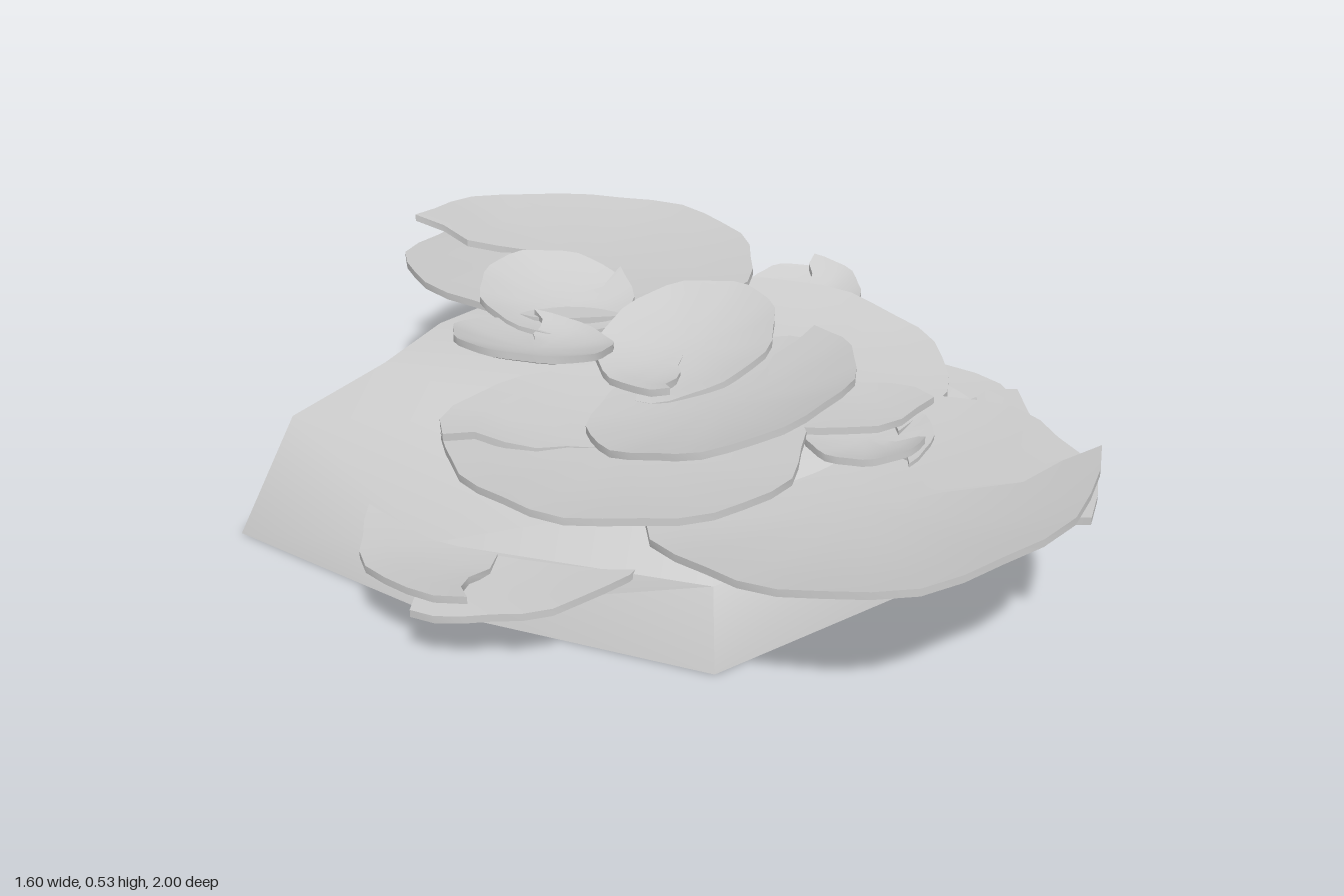
import * as THREE from 'three';
import { toCreasedNormals } from 'three/addons/utils/BufferGeometryUtils.js';

const material = new THREE.MeshStandardMaterial({ color: 0xcccccc, side: THREE.DoubleSide });

function meshFrom(name, positions, index, crease) {
  const geometry = new THREE.BufferGeometry();
  geometry.setAttribute('position', new THREE.Float32BufferAttribute(positions, 3));
  geometry.setIndex(index);
  const mesh = new THREE.Mesh(toCreasedNormals(geometry, crease), material);
  mesh.name = name;
  return mesh;
}

// Rock: eight corners lofted through three rings [x, y, z] and closed top and bottom
function makeRock() {
  const base = [[0.57, 0, 0.56], [0.8, 0, -0.14], [0.61, 0, -0.74], [-0.12, 0, -0.89],
    [-0.645, 0, -0.8], [-0.64, 0, -0.26], [-0.47, 0, 0.4], [0.05, 0, 0.565]];
  const middle = [[0.52, 0.18, 0.5], [0.735, 0.17, -0.13], [0.56, 0.18, -0.69], [-0.11, 0.18, -0.82],
    [-0.52, 0.27, -0.73], [-0.6, 0.15, -0.24], [-0.42, 0.17, 0.36], [0.05, 0.18, 0.51]];
  const top = [[0.4, 0.29, 0.37], [0.57, 0.33, -0.1], [0.46, 0.36, -0.6], [-0.11, 0.37, -0.65],
    [-0.33, 0.36, -0.62], [-0.33, 0.34, -0.15], [-0.28, 0.28, 0.25], [0.03, 0.29, 0.38]];
  const n = base.length, index = [];
  const positions = [...base, ...middle, ...top, [0, 0, 0], [0.05, 0.36, -0.2]].flat();
  for (let i = 0; i < n; i++) {
    const j = (i + 1) % n;
    for (let r = 0; r < 2 * n; r += n) {
      index.push(r + i, r + j, r + n + j, r + i, r + n + j, r + n + i);
    }
    index.push(3 * n, j, i, 3 * n + 1, 2 * n + i, 2 * n + j);
  }
  return meshFrom('rock', positions, index, 0.75);
}

// Pad: a thin cupped disc with a wavy rim, split along a ragged radius;
// its raised end overlaps the dropped start
function makePad({ name, at, r, cup, tilt, slit, lift = 0.02 }, seed) {
  const segments = 34, rings = 7, thick = 0.017, overlap = 0.4;
  const row = 2 * rings, positions = [], index = [];
  for (let j = 0; j <= segments; j++) {
    const t = j / segments;
    const sweep = slit - overlap + t * (Math.PI * 2 + overlap);
    const wave = 1 + 0.014 * Math.sin(sweep * 5 + seed * 2) + 0.018 * Math.sin(sweep * 9 + seed);
    const lip = Math.max(0, 1 - (1 - t) * 6) - Math.max(0, 1 - t * 6);
    for (let k = 0; k < row; k++) {
      const under = k >= rings;
      const f = (under ? row - 1 - k : k) / (rings - 1);
      const d = f * r * wave * (1 + 0.03 * Math.abs(lip));
      const angle = sweep + 0.08 * Math.sin(f * 11 + seed) * Math.abs(lip);
      const x = Math.cos(angle) * d, z = -Math.sin(angle) * d;
      const y = cup * f * f + lift * lip * f * f + tilt[0] * x + tilt[1] * z;
      positions.push(at[0] + x, at[1] + y - (under ? thick : 0), at[2] + z);
    }
  }
  for (let j = 0; j < segments; j++) {
    for (let k = 0; k < row - 1; k++) {
      const a = j * row + k, b = a + row;
      index.push(a, a + 1, b + 1, a, b + 1, b);
    }
  }
  // Close both edges of the split
  const end = segments * row;
  for (let k = 0; k < rings - 1; k++) {
    const low = row - 1 - k;
    index.push(low, low - 1, k + 1, low, k + 1, k);
    index.push(end + low, end + k + 1, end + low - 1, end + low, end + k, end + k + 1);
  }
  return meshFrom(name, positions, index, 0.7);
}

export function createModel() {
  const model = new THREE.Group();
  model.name = 'padCoveredRock';
  model.add(makeRock());

  // Position, radius, rim rise, slope along x and z, direction of the split
  const pads = [
    { name: 'backPad', at: [0.32, 0.405, -0.565], r: 0.425, cup: 0.025, tilt: [-0.04, -0.01], slit: 2.0, lift: 0.045 },
    { name: 'leftPad', at: [-0.31, 0.345, 0.06], r: 0.375, cup: 0.03, tilt: [-0.04, 0], slit: 2.3 },
    { name: 'lowLeftPad', at: [-0.47, 0.15, -0.13], r: 0.325, cup: 0.02, tilt: [0.02, 0], slit: 3.5, lift: 0.03 },
    { name: 'frontPad', at: [-0.13, 0.285, 0.535], r: 0.45, cup: 0.05, tilt: [0.02, 0.13], slit: -1.0, lift: 0.035 },
    { name: 'lowFrontPad', at: [0.25, 0.245, 0.31], r: 0.36, cup: 0.01, tilt: [0.01, 0.01], slit: -0.6, lift: 0.015 },
    { name: 'rightPad', at: [0.25, 0.345, 0.1], r: 0.355, cup: 0.03, tilt: [-0.03, -0.13], slit: -1.4, lift: 0.015 },
    { name: 'upperFrontPad', at: [-0.15, 0.42, 0.185], r: 0.28, cup: 0.03, tilt: [0.1, 0.25], slit: -0.1 },
    { name: 'centrePad', at: [0.02, 0.43, -0.03], r: 0.2, cup: 0.03, tilt: [0.28, 0.03], slit: 3.6 },
    { name: 'upperLeftPad', at: [-0.21, 0.445, -0.28], r: 0.175, cup: 0.03, tilt: [-0.24, 0.03], slit: 0.6 },
    { name: 'upperBackPad', at: [0.03, 0.435, -0.41], r: 0.175, cup: 0.03, tilt: [0.06, -0.2], slit: -0.4 },
    { name: 'smallRightPad', at: [0.58, 0.33, -0.08], r: 0.14, cup: 0.03, tilt: [0.1, -0.05], slit: 0.4 },
    { name: 'smallFrontPad', at: [0.1, 0.3, 0.4], r: 0.14, cup: 0.02, tilt: [0.02, 0.05], slit: -1.5 },
    { name: 'smallMiddlePad', at: [0.31, 0.27, 0.4], r: 0.13, cup: 0.02, tilt: [0.02, 0.05], slit: -0.9 },
    { name: 'smallLowPad', at: [0.47, 0.2, 0.33], r: 0.13, cup: 0.01, tilt: [0, -0.1], slit: -0.2 },
  ];
  pads.forEach((pad, i) => model.add(makePad(pad, i + 1)));
  return model;
}
